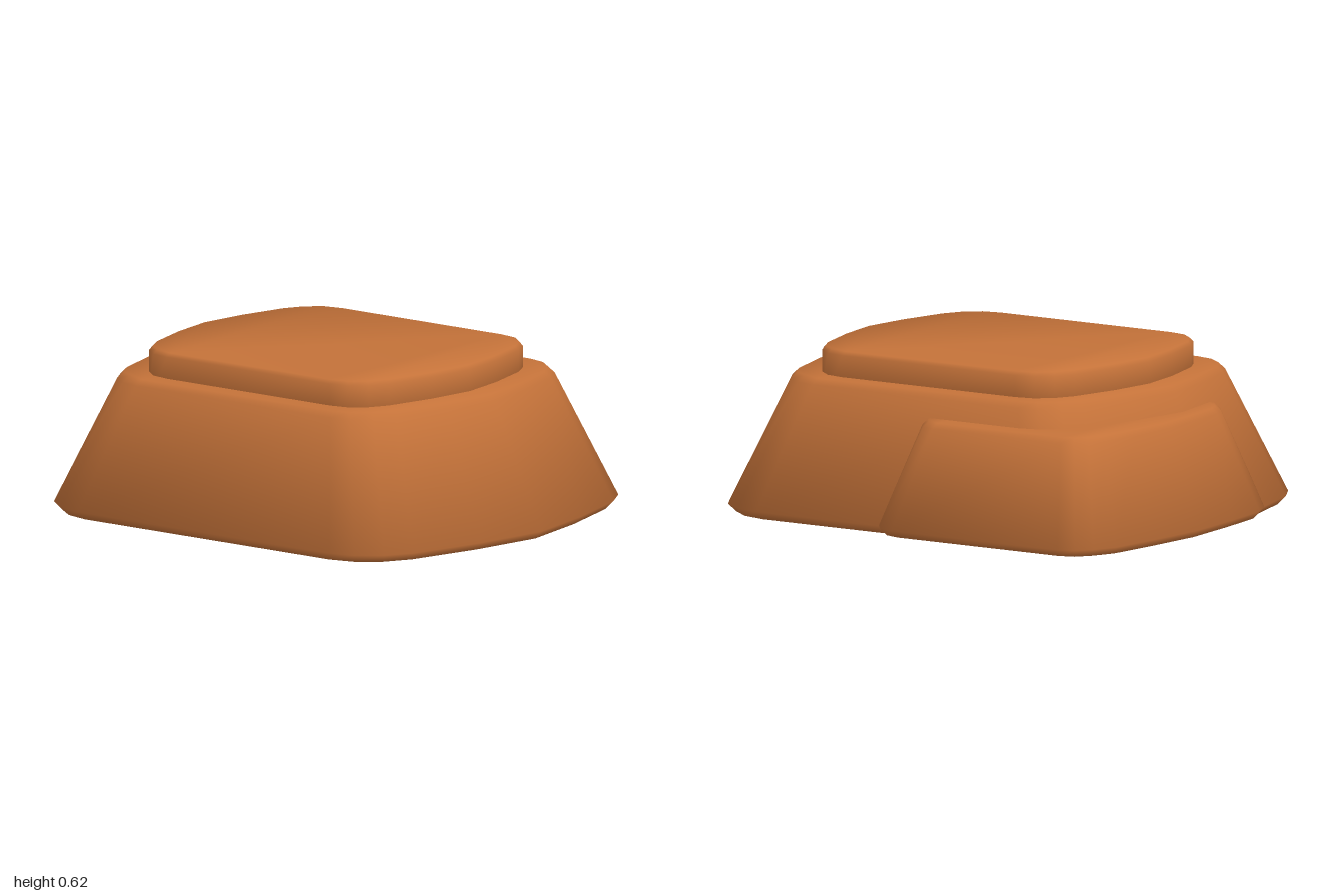
import * as THREE from 'three';

const clay = new THREE.MeshStandardMaterial({ color: 0xc47239 });
clay.name = 'terracotta rock';

// Mirror a quarter outline (from the +x tip to the +z edge) into a closed loop
function closedOutline(quarter) {
  const back = [...quarter].reverse();
  return [
    ...quarter,
    ...back.map(([x, z]) => [-x, z]),
    ...quarter.slice(1).map(([x, z]) => [-x, -z]),
    ...back.slice(0, -1).map(([x, z]) => [x, -z]),
  ];
}

// Every vertex takes the plain average of the faces around it
function softNormals(geometry) {
  const pos = geometry.attributes.position, idx = geometry.index.array;
  const sums = Array.from({ length: pos.count }, () => new THREE.Vector3());
  const [a, b, c] = [0, 1, 2].map(() => new THREE.Vector3());
  const tri = new THREE.Triangle(a, b, c), n = new THREE.Vector3();
  for (let i = 0; i < idx.length; i += 3) {
    [a, b, c].forEach((v, k) => v.fromBufferAttribute(pos, idx[i + k]));
    tri.getNormal(n);
    for (let k = 0; k < 3; k++) sums[idx[i + k]].add(n);
  }
  const normals = sums.flatMap((s) => s.normalize().toArray());
  geometry.setAttribute('normal', new THREE.Float32BufferAttribute(normals, 3));
}

// Loft the outline through [height, scale] sections and close both ends
function slab(name, quarter, sections, cx, cz) {
  const loop = closedOutline(quarter), n = loop.length;
  const positions = [], index = [];
  for (const [y, s] of sections)
    for (const [x, z] of loop) positions.push(cx + x * s, y, cz + z * s);

  for (let r = 0; r < sections.length - 1; r++)
    for (let i = 0; i < n; i++) {
      const a = r * n + i, b = r * n + (i + 1) % n;
      index.push(a, a + n, b, b, a + n, b + n);
    }

  // End faces: two fans meeting along a diagonal
  const top = (sections.length - 1) * n;
  const left = quarter.length, right = 3 * quarter.length - 1;
  const fan = (from, to) => {
    for (let i = from + 1; i < to; i++) {
      const f = from % n, p = i % n, q = (i + 1) % n;
      index.push(f, p, q, top + f, top + q, top + p);
    }
  };
  fan(left, right);
  fan(right, left + n);

  const geometry = new THREE.BufferGeometry();
  geometry.setAttribute('position', new THREE.Float32BufferAttribute(positions, 3));
  geometry.setIndex(index);
  softNormals(geometry);
  const mesh = new THREE.Mesh(geometry, clay);
  mesh.name = name;
  return mesh;
}

export function createModel() {
  const group = new THREE.Group();
  group.name = 'steppedRock';

  const wide = [[0.98, 0], [0.93, 0.3], [0.85, 0.6], [0.79, 0.705], [0.70, 0.775], [0.60, 0.80]];
  const narrow = [[0.57, 0], [0.55, 0.26], [0.525, 0.48], [0.485, 0.57], [0.44, 0.63], [0.375, 0.65]];
  const cap = [[0.64, 0], [0.615, 0.19], [0.565, 0.39], [0.525, 0.465], [0.465, 0.515], [0.39, 0.53]];

  group.add(
    // Large tapered body
    slab('mainBody', wide, [[0, 0.972], [0.03, 1], [0.5, 0.775], [0.523, 0.752]], 0.02, 0.04),
    // Lower ledge bulging out of the back right corner
    slab('sideLedge', narrow, [[0.008, 0.965], [0.035, 1], [0.41, 0.775], [0.43, 0.745]], -0.43, -0.2),
    // Straight-sided cap
    slab('topCap', cap, [[0.45, 0.98], [0.46, 1], [0.605, 1], [0.62, 0.98]], 0.02, 0.04),
  );
  return group;
}
